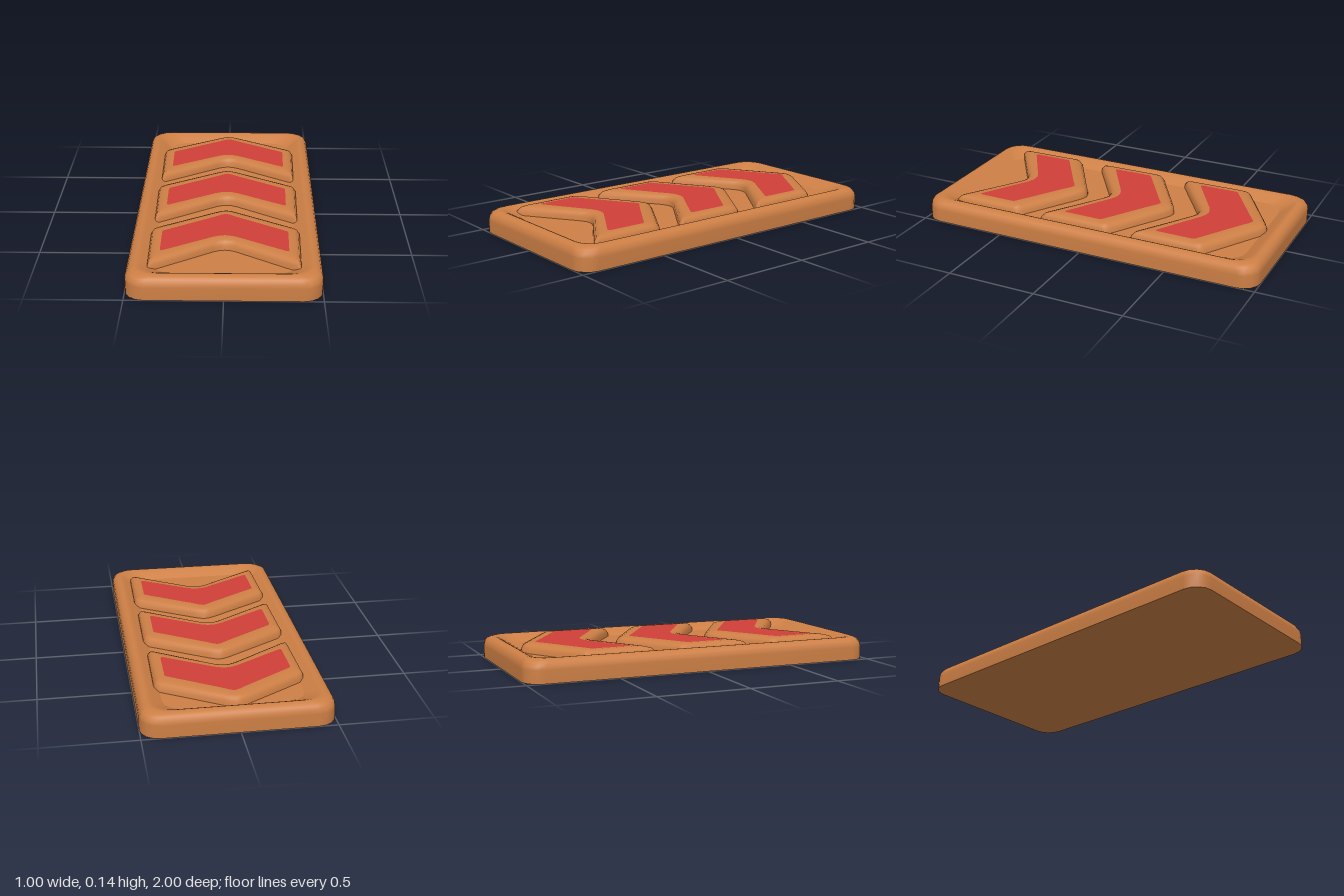
import * as THREE from 'three';

const orange = new THREE.MeshStandardMaterial({ color: 0xcd7f45 });
orange.name = 'copper orange';
const red = new THREE.MeshStandardMaterial({ color: 0xd04039 });
red.name = 'arrow red';

// Smooth skin through closed rings of [x, y, z], each counter-clockwise from above
function loft(rings) {
  const n = rings[0].length, index = [];
  for (let r = 0; r < rings.length - 1; r++) {
    for (let i = 0; i < n; i++) {
      const a = r * n + i, b = r * n + (i + 1) % n;
      index.push(a, b, b + n, a, b + n, a + n);
    }
  }
  return finish(rings.flat(), index);
}

// Flat face filling one ring
function cap(ring, faceDown = false) {
  const faces = THREE.ShapeUtils.triangulateShape(ring.map(p => new THREE.Vector2(p[0], -p[2])), []);
  return finish(ring, faces.flatMap(([a, b, c]) => (faceDown ? [a, c, b] : [a, b, c])));
}

function finish(points, index) {
  const geometry = new THREE.BufferGeometry();
  geometry.setAttribute('position', new THREE.Float32BufferAttribute(points.flat(), 3));
  geometry.setIndex(index);
  geometry.computeVertexNormals();
  return geometry;
}

function add(parent, name, geometry, material) {
  const mesh = new THREE.Mesh(geometry, material);
  mesh.name = name;
  parent.add(mesh);
}

// Rounded rectangle, 1 by 2, moved inward by inset
function trayRing(inset, y) {
  const radius = 0.1, steps = 4, ring = [];
  [[1, 1], [-1, 1], [-1, -1], [1, -1]].forEach(([sx, sy], corner) => {
    for (let i = 0; i <= steps; i++) {
      const angle = (corner + i / steps) * Math.PI / 2;
      ring.push([
        sx * (0.5 - inset - radius) + radius * Math.cos(angle), y,
        -(sy * (1 - inset - radius) + radius * Math.sin(angle)),
      ]);
    }
  });
  return ring;
}

// Right half of the chevron outlines, from notch to apex, as [x, z]
const outerHalf = [[0, -0.48], [0.025, -0.477], [0.06, -0.46], [0.37, -0.253], [0.387, -0.25], [0.394, -0.265],
  [0.4, -0.63], [0.393, -0.655], [0.37, -0.678], [0.06, -0.868], [0.025, -0.885], [0, -0.89]];
const innerHalf = [[0, -0.55], [0.025, -0.547], [0.06, -0.533], [0.315, -0.378], [0.328, -0.373], [0.333, -0.385],
  [0.335, -0.585], [0.333, -0.597], [0.325, -0.605], [0.06, -0.773], [0.025, -0.798], [0, -0.81]];

// Chevron outline blended from outer (t = 0) to inner (t = 1)
function chevronRing(t, y) {
  const half = outerHalf.map(([x, z], i) => [
    THREE.MathUtils.lerp(x, innerHalf[i][0], t), y, THREE.MathUtils.lerp(z, innerHalf[i][1], t),
  ]);
  return [...half, ...half.slice(1, -1).reverse().map(([x, h, z]) => [-x, h, z])];
}

export function createModel() {
  const model = new THREE.Group();
  model.name = 'arrowPanel';

  // Tray: side wall, rounded rim and slope down to the sunken floor
  const rimProfile = [[0, 0], [0, 0.07], [0.003, 0.09], [0.013, 0.11], [0.028, 0.12], [0.045, 0.125],
    [0.058, 0.124], [0.072, 0.118], [0.1, 0.102], [0.13, 0.085]];
  const tray = new THREE.Group();
  tray.name = 'tray';
  model.add(tray);
  add(tray, 'rim', loft(rimProfile.map(p => trayRing(...p))), orange);
  add(tray, 'floor', cap(trayRing(0.13, 0.085)), orange);
  add(tray, 'underside', cap(trayRing(0, 0), true), orange);

  // Three raised chevrons with red faces
  const borderProfile = [[0, 0.08], [0.05, 0.108], [0.2, 0.127], [0.45, 0.135], [0.75, 0.138], [1, 0.138]];
  const border = loft(borderProfile.map(p => chevronRing(...p)));
  const face = cap(chevronRing(1, 0.138));
  for (let i = 0; i < 3; i++) {
    const chevron = new THREE.Group();
    chevron.name = 'chevron' + (i + 1);
    chevron.position.z = i * 0.55;
    add(chevron, 'chevronBorder', border, orange);
    add(chevron, 'chevronFace', face, red);
    model.add(chevron);
  }
  return model;
}
